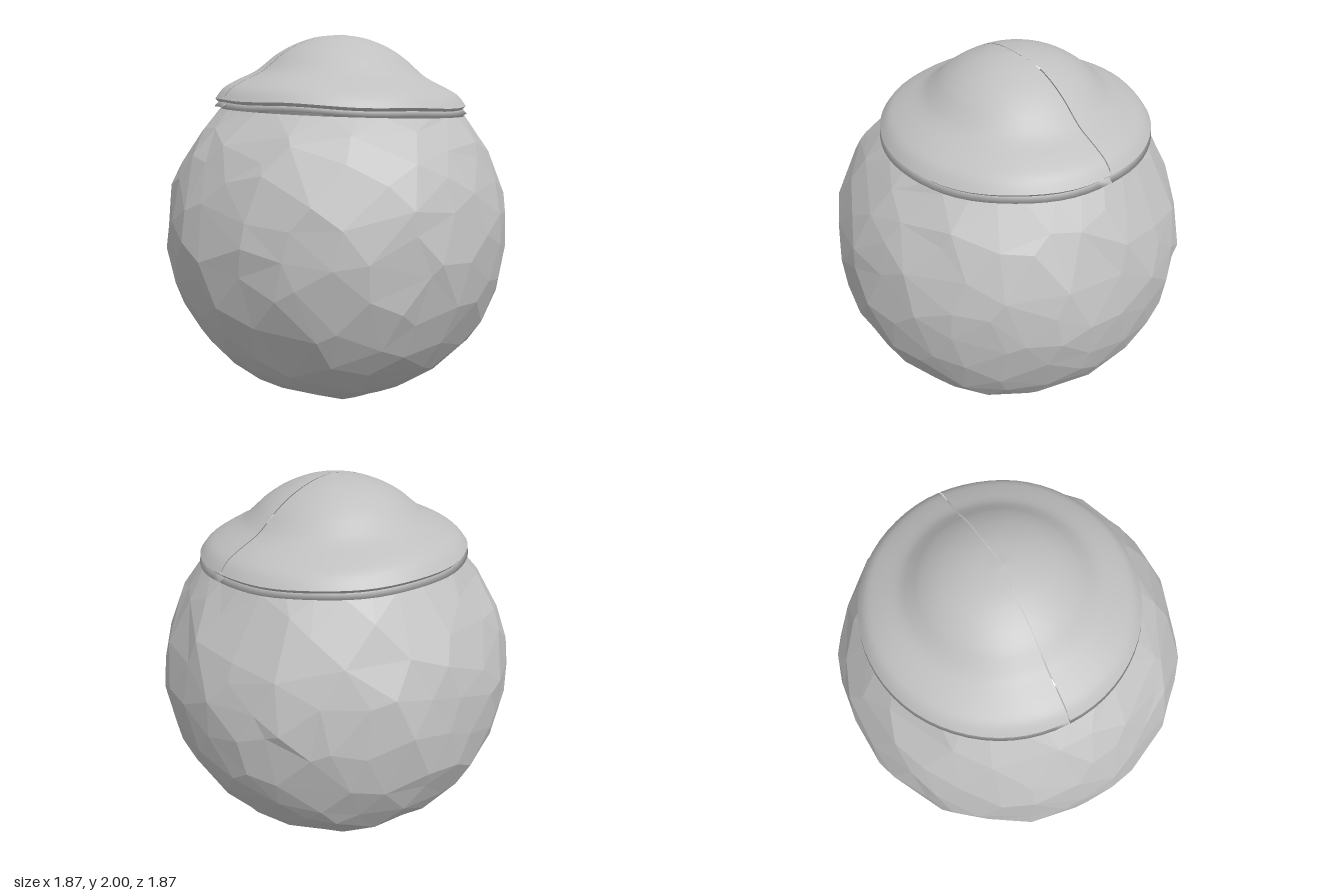
import * as THREE from 'three';
import { ConvexGeometry } from 'three/addons/geometries/ConvexGeometry.js';

const RADIUS = 0.95, CENTRE_Y = 0.948, LID_X = 0.035;

// Repeatable noise in 0..1 from a position
function hash(x, y, z) {
  const s = Math.sin(x * 127.1 + y * 311.7 + z * 74.7) * 43758.5453;
  return s - Math.floor(s);
}

// The lid sits slightly askew: lower to the left and the front
const tilt = (x, z) => -0.027 * x - 0.02 * z;

// Irregular faceted globe, open under the lid and with a small hole underneath
function bodyGeometry() {
  const points = [], count = 290;
  const hole = new THREE.Vector3(-0.06, -0.95, 0.28).normalize().multiplyScalar(RADIUS);
  const neckY = 0.655;
  for (let i = 0; i < count; i++) {
    const v = 1 - 2 * i / (count - 1), a = i * 2.39996;
    const r = Math.sqrt(Math.max(0, 1 - v * v));
    const p = new THREE.Vector3(r * Math.cos(a), v, r * Math.sin(a));
    if (i < count - 1) {
      p.x += (hash(i, 1, 2) - 0.5) * 0.15;
      p.y += (hash(i, 3, 4) - 0.5) * 0.15;
      p.z += (hash(i, 5, 6) - 0.5) * 0.15;
    }
    p.setLength(RADIUS);
    if (p.y < neckY - 0.05 && p.distanceTo(hole) > 0.11) points.push(p);
  }
  // Neck ring
  for (let i = 0; i < 32; i++) {
    const a = i / 32 * Math.PI * 2;
    const x = LID_X + 0.665 * Math.cos(a), z = 0.665 * Math.sin(a);
    points.push(new THREE.Vector3(x, neckY + tilt(x, z), z));
  }
  // Rim of the small hole
  const u = new THREE.Vector3(1, 0, 0).cross(hole).normalize();
  const w = u.clone().cross(hole).normalize();
  for (let i = 0; i < 7; i++) {
    const a = i / 7 * Math.PI * 2;
    points.push(hole.clone().addScaledVector(u, 0.07 * Math.cos(a))
      .addScaledVector(w, 0.06 * Math.sin(a)).setLength(RADIUS));
  }
  const hull = new ConvexGeometry(points).attributes.position;
  const kept = [];
  for (let i = 0; i < hull.count; i += 3) {
    const tri = [0, 1, 2].map(k => new THREE.Vector3().fromBufferAttribute(hull, i + k));
    const mid = tri[0].clone().add(tri[1]).add(tri[2]).divideScalar(3);
    const overNeck = tri.every(p => p.y > neckY - 0.04);
    if (overNeck || mid.distanceTo(hole) < 0.065) continue;
    // Dent each corner a little so the facets look hand-cut
    for (const p of tri) {
      const key = [p.x, p.y, p.z].map(c => Math.round(c * 1000) / 1000);
      const dent = p.y > neckY - 0.04 ? 0 : 0.022 * hash(...key);
      p.multiplyScalar(1 - dent);
      kept.push(p.x, p.y + CENTRE_Y, p.z);
    }
  }
  const geometry = new THREE.BufferGeometry();
  geometry.setAttribute('position', new THREE.Float32BufferAttribute(kept, 3));
  geometry.computeVertexNormals();
  geometry.computeBoundingBox();
  geometry.translate(0, -geometry.boundingBox.min.y, 0);
  return geometry;
}

// Half of a turned shell, set askew and gently uneven
function halfShell(profile, start, offsetZ) {
  const geometry = new THREE.LatheGeometry(profile, 32, start, Math.PI);
  const pos = geometry.attributes.position;
  for (let i = 0; i < pos.count; i++) {
    const x = pos.getX(i), y = pos.getY(i), z = pos.getZ(i);
    const r = Math.hypot(x, z);
    const wave = 0.004 * r * (Math.sin(x * 11 + 1) + Math.sin(z * 13 + y * 9));
    pos.setXYZ(i, x + LID_X, y + tilt(x, z) + wave, z + offsetZ * Math.min(1, r * 4 + 0.3));
  }
  geometry.computeVertexNormals();
  return geometry;
}

export function createModel() {
  const model = new THREE.Group();
  model.name = 'lidded globe';
  const grey = new THREE.MeshStandardMaterial({ color: 0xc0c0c0, side: THREE.DoubleSide });
  grey.name = 'grey';

  const add = (parent, name, geometry) => {
    const mesh = new THREE.Mesh(geometry, grey);
    mesh.name = name;
    parent.add(mesh);
  };

  add(model, 'facetedBody', bodyGeometry());

  // Bell-shaped dome flaring into a lip
  const dome = new THREE.SplineCurve([
    [0.683, 1.64], [0.64, 1.693], [0.57, 1.735], [0.47, 1.785], [0.41, 1.832],
    [0.35, 1.883], [0.26, 1.938], [0.14, 1.982], [0.0001, 2.0],
  ].map(p => new THREE.Vector2(...p))).getPoints(28);
  // Thin collars below the dome and at the neck
  const upperCollar = [[0.64, 1.622], [0.668, 1.624], [0.683, 1.64]].map(p => new THREE.Vector2(...p));
  const lowerCollar = [[0.645, 1.604], [0.688, 1.6], [0.662, 1.627]].map(p => new THREE.Vector2(...p));

  const lid = new THREE.Group();
  lid.name = 'lid';
  model.add(lid);
  // Two halves meet at a seam running left to right
  for (const [side, start, offset] of [['front', -Math.PI / 2, -0.022], ['back', Math.PI / 2, -0.028]]) {
    add(lid, side + 'Dome', halfShell(dome, start, offset));
    add(lid, side + 'UpperCollar', halfShell(upperCollar, start, offset));
    add(lid, side + 'LowerCollar', halfShell(lowerCollar, start, offset));
  }
  return model;
}
